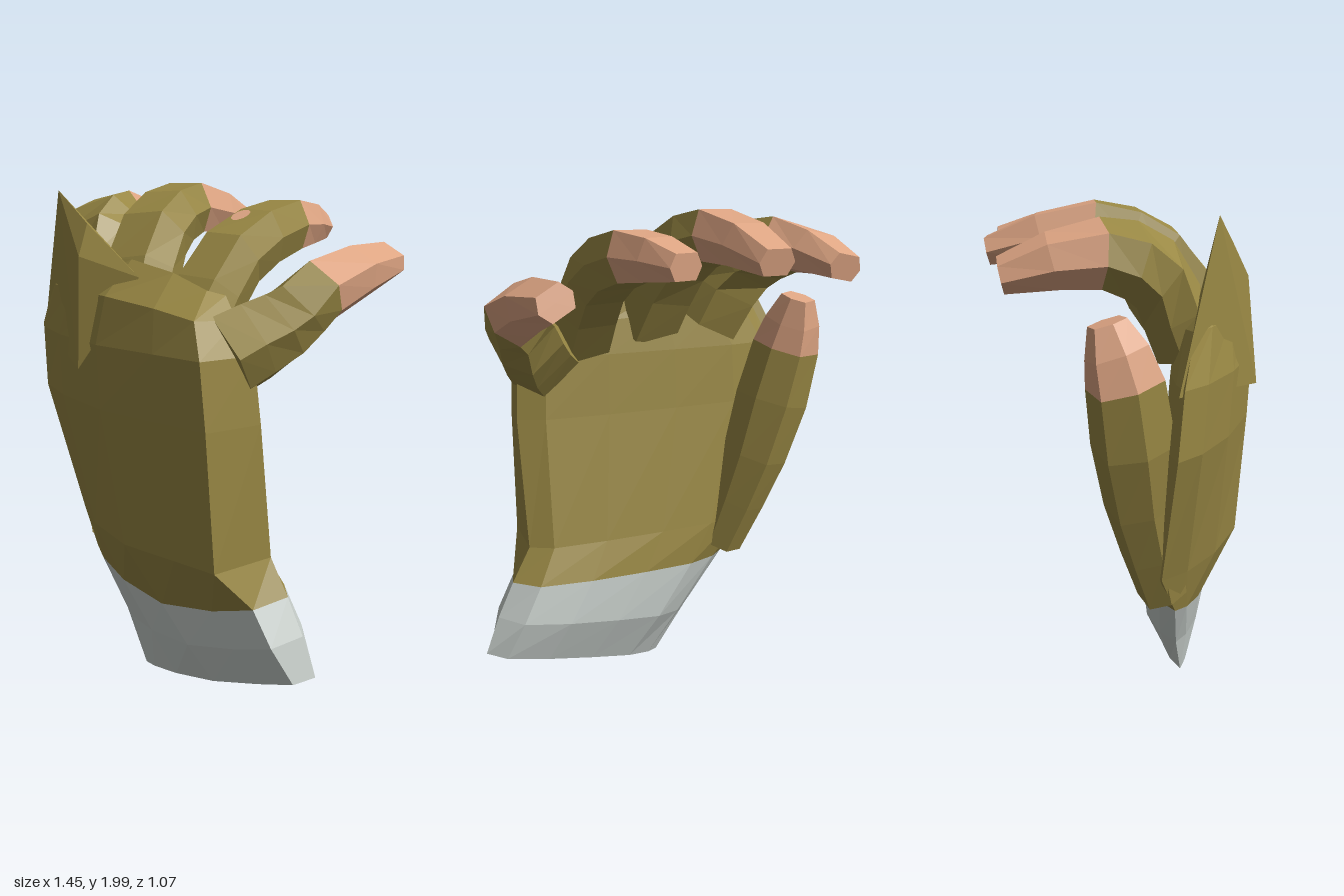
import * as THREE from 'three';
import { ConvexGeometry } from 'three/addons/geometries/ConvexGeometry.js';

const V = (x, y, z) => new THREE.Vector3(x, y, z);
const lerp = THREE.MathUtils.lerp;

// Joins closed rings of points into a faceted, capped solid that faces outward.
function loft(rings) {
  const tris = [];
  const n = rings[0].length;
  for (let i = 0; i < rings.length - 1; i++) {
    for (let j = 0; j < n; j++) {
      const k = (j + 1) % n;
      const [a, b, c, d] = [rings[i][j], rings[i][k], rings[i + 1][k], rings[i + 1][j]];
      tris.push([a, b, c], [a, c, d]);
    }
  }
  const cap = (ring, flip) => {
    const mid = ring.reduce((s, p) => s.add(p), V(0, 0, 0)).divideScalar(n);
    for (let j = 0; j < n; j++) {
      const k = (j + 1) % n;
      tris.push(flip ? [mid, ring[k], ring[j]] : [mid, ring[j], ring[k]]);
    }
  };
  cap(rings[0], true);
  cap(rings[rings.length - 1], false);
  const volume = tris.reduce((s, [a, b, c]) => s + a.dot(b.clone().cross(c)), 0);
  const points = tris.flatMap(([a, b, c]) => (volume < 0 ? [a, c, b] : [a, b, c]));
  const geometry = new THREE.BufferGeometry().setFromPoints(points);
  geometry.computeVertexNormals();
  return geometry;
}

// Six-sided rings along a bent, tapering finger.
const HEX = [[-0.5, 0], [-0.33, 0.5], [0.33, 0.5], [0.5, 0], [0.33, -0.5], [-0.33, -0.5]];
const STEPS = 6;
const SPLIT = 4; // ring at the third path point, where the glove ends
function fingerRings(path, width, height, { roll = 0, base = 1, tip = 0.6 }) {
  const curve = new THREE.CatmullRomCurve3(path);
  return Array.from({ length: STEPS + 1 }, (_, i) => {
    const t = i / STEPS;
    const centre = curve.getPoint(t);
    const tangent = curve.getTangent(t);
    const side = V(1, 0, 0).addScaledVector(tangent, -tangent.x).normalize();
    side.applyAxisAngle(tangent, roll);
    const up = side.clone().cross(tangent);
    const grow = lerp(base, 1, Math.min(1, t * 2));
    const w = width * grow * (1 - (1 - tip) * t ** 3);
    const h = height * grow * (1 - 0.55 * t ** 4);
    return HEX.map(([a, b]) => centre.clone().addScaledVector(side, a * w).addScaledVector(up, b * h));
  });
}

// Hand cross-section: back of the hand first (+z), then the palm side.
const FRONT = [[0, 0], [0.08, 0.33], [0.25, 0.7], [0.5, 1], [0.75, 0.97], [0.94, 0.95], [1, 0]];
const BACK = [[0.92, 0.8], [0.7, 1], [0.45, 1], [0.22, 0.9], [0.08, 0.5]];
function handRing([lx, ly, lz, rx, ry, rz, bulge, hollow, dip]) {
  const at = (u, dz, dy) => V(lerp(lx, rx, u), lerp(ly, ry, u) - dy, lerp(lz, rz, u) + dz);
  return [
    ...FRONT.map(([u, k]) => at(u, bulge * k, dip * Math.sin(Math.PI * u))),
    ...BACK.map(([u, k]) => at(u, -hollow * k, 0)),
  ];
}

export function createModel() {
  const model = new THREE.Group();
  model.name = 'glovedHand';
  const material = (name, color) => {
    const m = new THREE.MeshStandardMaterial({ color });
    m.name = name;
    return m;
  };
  const olive = material('oliveGlove', 0x998844);
  const skin = material('skin', 0xdea583);
  const grey = material('greyCuff', 0xc8cfcb);
  const add = (name, geometry, mat, parent = model) => {
    const mesh = new THREE.Mesh(geometry, mat);
    mesh.name = name;
    parent.add(mesh);
    return mesh;
  };

  // Cuff and palm, from the wrist up: left xyz, right xyz, front bulge, palm hollow, front dip
  const hand = [
    [-0.12, 0, 0.23, 0.71, 0.19, 0.22, 0.08, 0.08, 0.02],
    [-0.25, 0.2, 0.2, 0.65, 0.34, 0.22, 0.14, 0.13, 0.05],
    [-0.44, 0.44, 0.18, 0.58, 0.48, 0.22, 0.15, 0.12, 0.1],
    [-0.55, 0.62, 0.12, 0.5, 0.62, 0.22, 0.29, 0.07, 0],
    [-0.74, 1.15, 0.16, 0.5, 1.15, 0.3, 0.25, 0.07, 0],
    [-0.73, 1.4, 0.18, 0.48, 1.4, 0.32, 0.24, 0.07, 0],
    [-0.62, 1.58, 0.22, 0.41, 1.52, 0.33, 0.18, 0.07, -0.03],
    [-0.5, 1.66, 0.26, 0.34, 1.6, 0.3, 0.05, 0.05, -0.08],
  ].map(handRing);
  add('cuff', loft(hand.slice(0, 3)), grey);
  add('palm', loft(hand.slice(2)), olive);

  // Raised pointed fold over the first knuckle
  const fold = new ConvexGeometry([
    V(-0.74, 1.38, 0.16), V(-0.48, 1.96, 0.31), V(-0.25, 1.84, 0.39), V(-0.24, 1.72, 0.45),
    V(-0.21, 1.3, 0.5), V(0, 1.65, 0.38), V(-0.42, 1.62, 0.24),
  ]);
  add('knuckleFold', fold, olive);

  // Fingers: glove from the knuckle to the split, bare skin beyond it
  const addFinger = (name, path, width, height, options) => {
    const group = new THREE.Group();
    group.name = name;
    model.add(group);
    const rings = fingerRings(path, width, height, options);
    add(name + 'Glove', loft(rings.slice(0, SPLIT + 1)), olive, group);
    add(name + 'Tip', loft(rings.slice(SPLIT)), skin, group);
    return rings;
  };
  addFinger('indexFinger',
    [V(-0.37, 1.5, 0.2), V(-0.48, 1.76, 0.09), V(-0.545, 1.84, -0.1), V(-0.575, 1.77, -0.44)],
    0.32, 0.22, { roll: -0.2, base: 0.9, tip: 0.55 });
  addFinger('middleFinger',
    [V(-0.1, 1.5, 0.3), V(-0.15, 1.79, 0.11), V(-0.18, 1.89, -0.13), V(-0.18, 1.81, -0.52)],
    0.27, 0.22, { base: 1.1 });
  const ring = addFinger('ringFinger',
    [V(0.2, 1.45, 0.32), V(0.225, 1.72, 0.1), V(0.25, 1.83, -0.22), V(0.21, 1.81, -0.52)],
    0.24, 0.21, { base: 1.1 });
  addFinger('littleFinger',
    [V(0.38, 1.39, 0.33), V(0.5, 1.49, 0.18), V(0.585, 1.61, 0.06), V(0.63, 1.7, -0.37)],
    0.25, 0.23, { roll: 0.5, base: 1.2 });
  addFinger('thumb',
    [V(-0.4, 0.5, 0.13), V(-0.52, 0.92, 0.04), V(-0.63, 1.4, -0.02), V(-0.64, 1.62, -0.08)],
    0.29, 0.27, { roll: 0.35, base: 0.6, tip: 0.4 });

  // Small worn hole showing skin on top of the ring finger
  const [a, b, c, d] = [ring[2][1], ring[2][2], ring[3][1], ring[3][2]];
  const centre = a.clone().lerp(b, 0.32).lerp(c.clone().lerp(d, 0.32), 0.7);
  const normal = b.clone().sub(a).cross(c.clone().sub(a)).normalize();
  const hole = add('wornHole', new THREE.CircleGeometry(0.035, 10), skin);
  hole.scale.y = 1.3;
  hole.position.copy(centre).addScaledVector(normal, 0.006);
  hole.quaternion.setFromUnitVectors(V(0, 0, 1), normal);
  return model;
}
